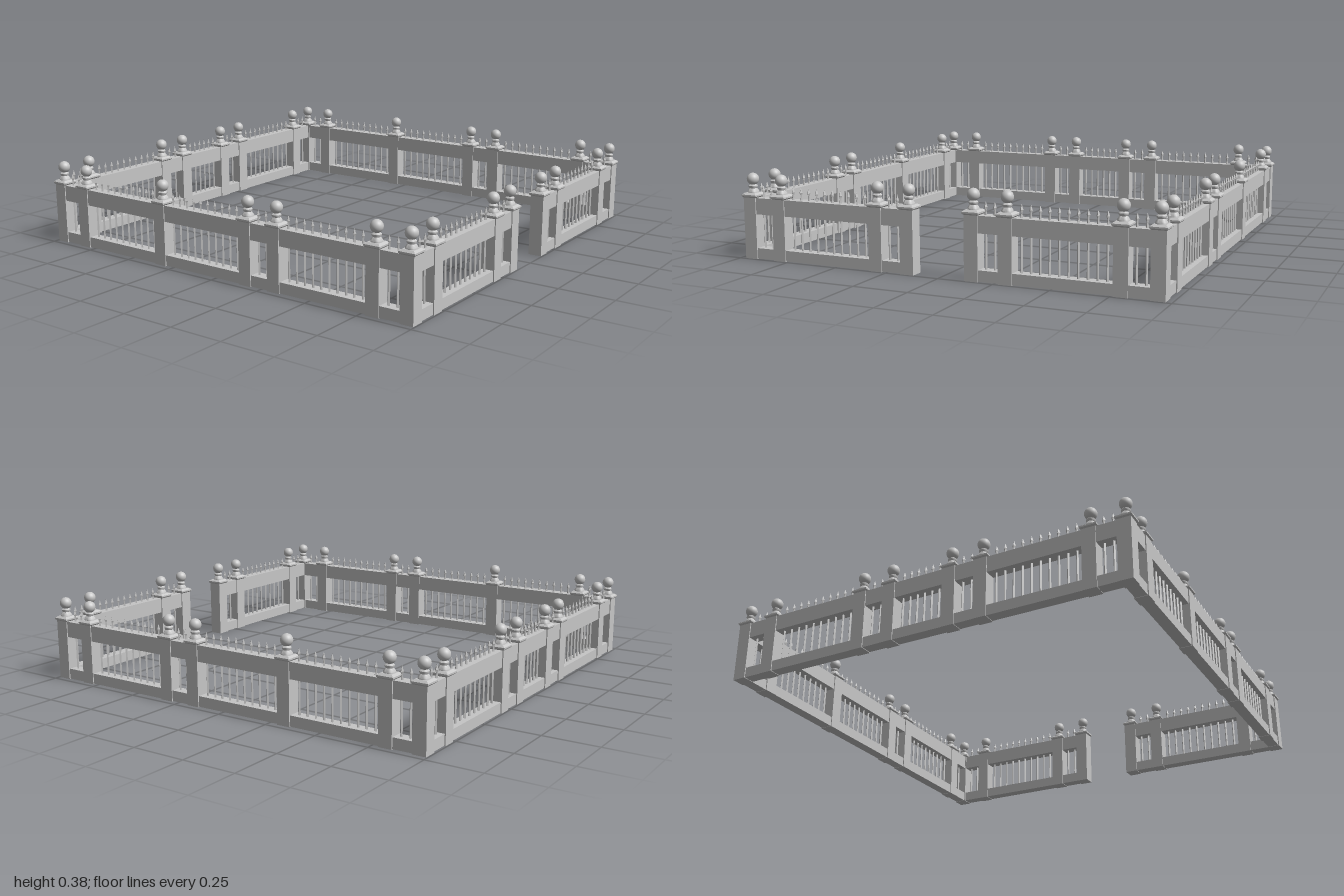
import * as THREE from 'three';
import { toCreasedNormals } from 'three/addons/utils/BufferGeometryUtils.js';

const stone = new THREE.MeshStandardMaterial({ color: 0xc6c6c6 });
stone.name = 'light grey';

const HX = 0.943, HZ = 0.963; // fence centre lines
const lathe = (pts, sides, phi = 0) =>
  new THREE.LatheGeometry(pts.map(([r, y]) => new THREE.Vector2(r, y)), sides, phi);

// Square profile: half widths and heights swept round four sides
const square = (pts) => toCreasedNormals(
  lathe(pts.map(([h, y]) => [h * Math.SQRT2, y]), 4, Math.PI / 4), 0.4);

const postGeo = new THREE.BoxGeometry(0.062, 0.28, 0.062).translate(0, 0.14, 0);
const capGeo = square([[0, 0.276], [0.031, 0.276], [0.037, 0.282], [0.037, 0.289], [0.026, 0.297], [0, 0.297]]);
const pedestalGeo = toCreasedNormals(lathe([
  [0.025, 0.295], [0.025, 0.303], [0.021, 0.309], [0.016, 0.316], [0.02, 0.322], [0.02, 0.327], [0.012, 0.334],
], 16), 0.7);
const ballGeo = new THREE.SphereGeometry(0.027, 20, 14).translate(0, 0.357, 0);
const picketGeo = toCreasedNormals(lathe([
  [0, 0.003], [0.0055, 0.003], [0.0055, 0.285], [0.004, 0.292], [0.004, 0.297], [0.008, 0.309], [0, 0.333],
], 4), 0.4);

function add(parent, name, geo, x = 0) {
  const mesh = new THREE.Mesh(geo, stone);
  mesh.name = name;
  mesh.position.x = x;
  parent.add(mesh);
}

function makePost(x) {
  const post = new THREE.Group();
  post.name = 'post';
  post.position.x = x;
  add(post, 'postShaft', postGeo);
  add(post, 'postCap', capGeo);
  add(post, 'finialPedestal', pedestalGeo);
  add(post, 'finialBall', ballGeo);
  return post;
}

// A straight run; stops are post positions along local x
function makeRun(name, stops, skipEnds = false) {
  const run = new THREE.Group();
  run.name = name;
  const a = stops[0], b = stops[stops.length - 1];
  for (const [part, y0, y1] of [['bottomRail', 0.002, 0.05], ['topRail', 0.203, 0.276]]) {
    const geo = new THREE.BoxGeometry(b - a, y1 - y0, 0.053);
    add(run, part, geo.translate((a + b) / 2, (y0 + y1) / 2, 0));
  }
  stops.forEach((s, i) => {
    if (!skipEnds || (i > 0 && i < stops.length - 1)) run.add(makePost(s));
  });
  // Pickets centred in each bay
  for (let i = 0; i + 1 < stops.length; i++) {
    const span = stops[i + 1] - stops[i];
    const count = span > 0.4 ? 10 : span > 0.2 ? 6 : 2;
    const step = count === 6 ? 0.036 : 0.0406;
    for (let k = 0; k < count; k++) {
      add(run, 'picket', picketGeo, (stops[i] + stops[i + 1]) / 2 + (k - (count - 1) / 2) * step);
    }
  }
  return run;
}

export function createModel() {
  const fence = new THREE.Group();
  fence.name = 'fence';

  // Front runs leave an open gateway in the middle
  const half = [0.15, 0.302, 0.792, HX];
  const mirrored = half.map((v) => -v).reverse();
  for (const [name, stops, z] of [
    ['frontLeftRun', half, HZ], ['frontRightRun', mirrored, HZ], ['backRun', [...mirrored, ...half], -HZ],
  ]) {
    const run = makeRun(name, stops);
    run.position.z = z;
    fence.add(run);
  }

  // Side runs share the corner posts; local x turns to world z
  const side = [-HZ, -0.811, -0.323, 0.165, 0.317, 0.806, HZ];
  for (const s of [1, -1]) {
    const run = makeRun(s > 0 ? 'leftRun' : 'rightRun', side, true);
    run.rotation.y = -Math.PI / 2;
    run.position.x = s * HX;
    fence.add(run);
  }
  return fence;
}
